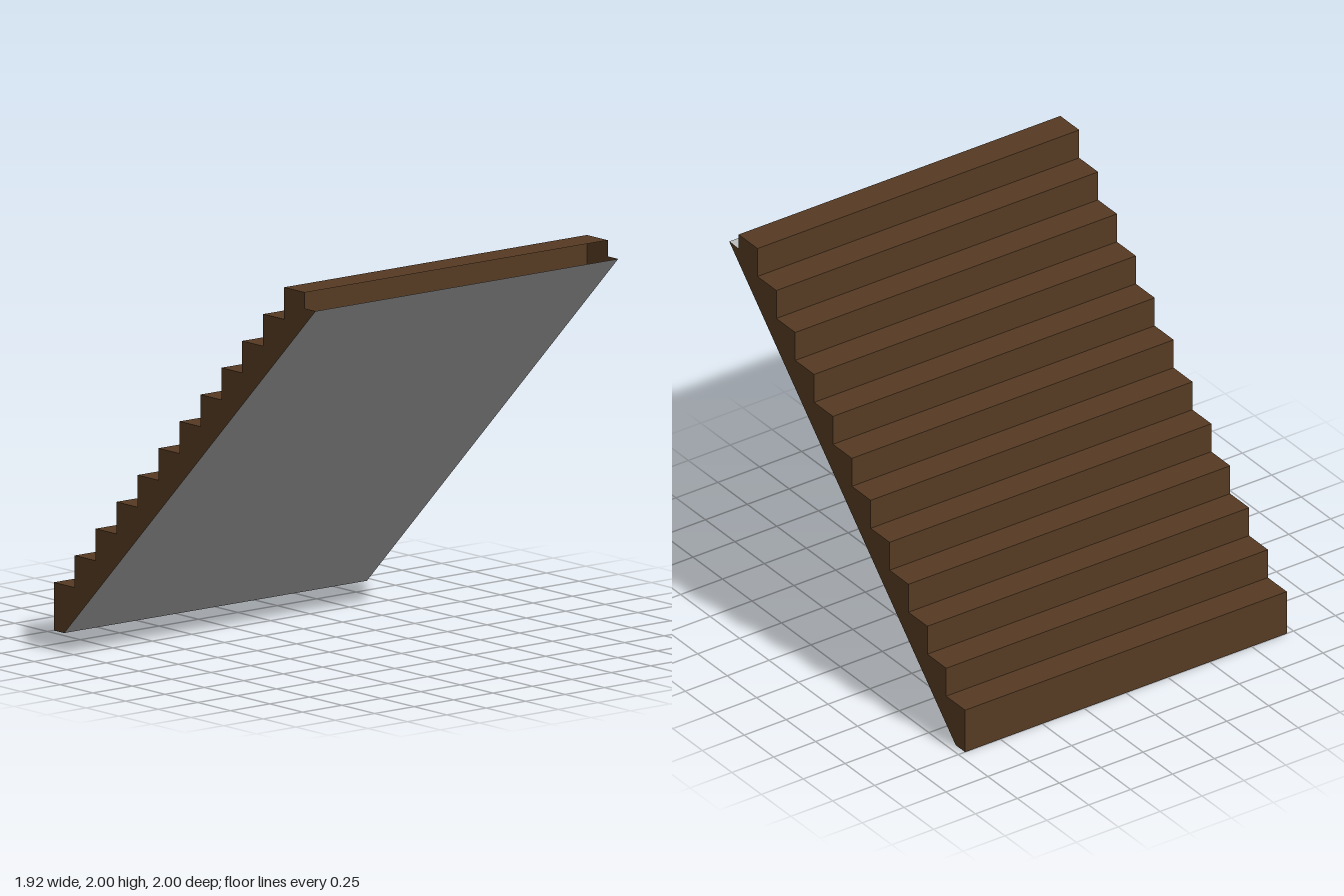
import * as THREE from 'three';

const STEPS = 12, RUN = 0.16, WIDTH = 1.92, BACK = -1, FIRST = 0.24;

export function createModel() {
  const model = new THREE.Group();
  model.name = 'staircase';
  const wood = new THREE.MeshStandardMaterial({ color: 0x553a22, side: THREE.DoubleSide });
  wood.name = 'brown wood';
  const stone = new THREE.MeshStandardMaterial({ color: 0xa5a5a5, side: THREE.DoubleSide });
  stone.name = 'grey underside';

  // Full-width sheet between two (z, y) profile points, facing left of travel
  function sheet(name, [z0, y0], [z1, y1], material) {
    const geometry = new THREE.PlaneGeometry(WIDTH, Math.hypot(z1 - z0, y1 - y0));
    geometry.rotateX(-Math.atan2(z1 - z0, y1 - y0) + Math.PI);
    geometry.rotateZ(Math.PI);
    const p = geometry.attributes.position, h = WIDTH / 2;
    const corners = [[h, y1, z1], [-h, y1, z1], [h, y0, z0], [-h, y0, z0]];
    corners.forEach((c, i) => p.setXYZ(i, ...c));
    geometry.computeVertexNormals();
    const mesh = new THREE.Mesh(geometry, material);
    mesh.name = name;
    model.add(mesh);
  }

  // Treads and risers climb from the back to the front
  const outline = [[BACK, 0]];
  for (let i = 0; i < STEPS; i++) {
    const z = BACK + i * RUN, y = FIRST + i * RUN;
    sheet('riser', [z, i ? y - RUN : 0], [z, y], wood);
    sheet('tread', [z, y], [z + RUN, y], wood);
    outline.push([z, y], [z + RUN, y]);
  }
  outline.push([0.92, 1.92], [1, 1.92], [-0.92, 0]);

  // Sloping underside and the narrow foot; the top front stays open
  sheet('underside', [1, 1.92], [-0.92, 0], stone);
  sheet('foot', [-0.92, 0], [BACK, 0], stone);

  // Stepped side panels
  for (const side of [-1, 1]) {
    const shape = new THREE.Shape(outline.map(([z, y]) => new THREE.Vector2(-side * z, y)));
    const panel = new THREE.Mesh(new THREE.ShapeGeometry(shape), wood);
    panel.name = side > 0 ? 'leftSide' : 'rightSide';
    panel.rotation.y = side * Math.PI / 2;
    panel.position.x = side * WIDTH / 2;
    model.add(panel);
  }
  return model;
}
